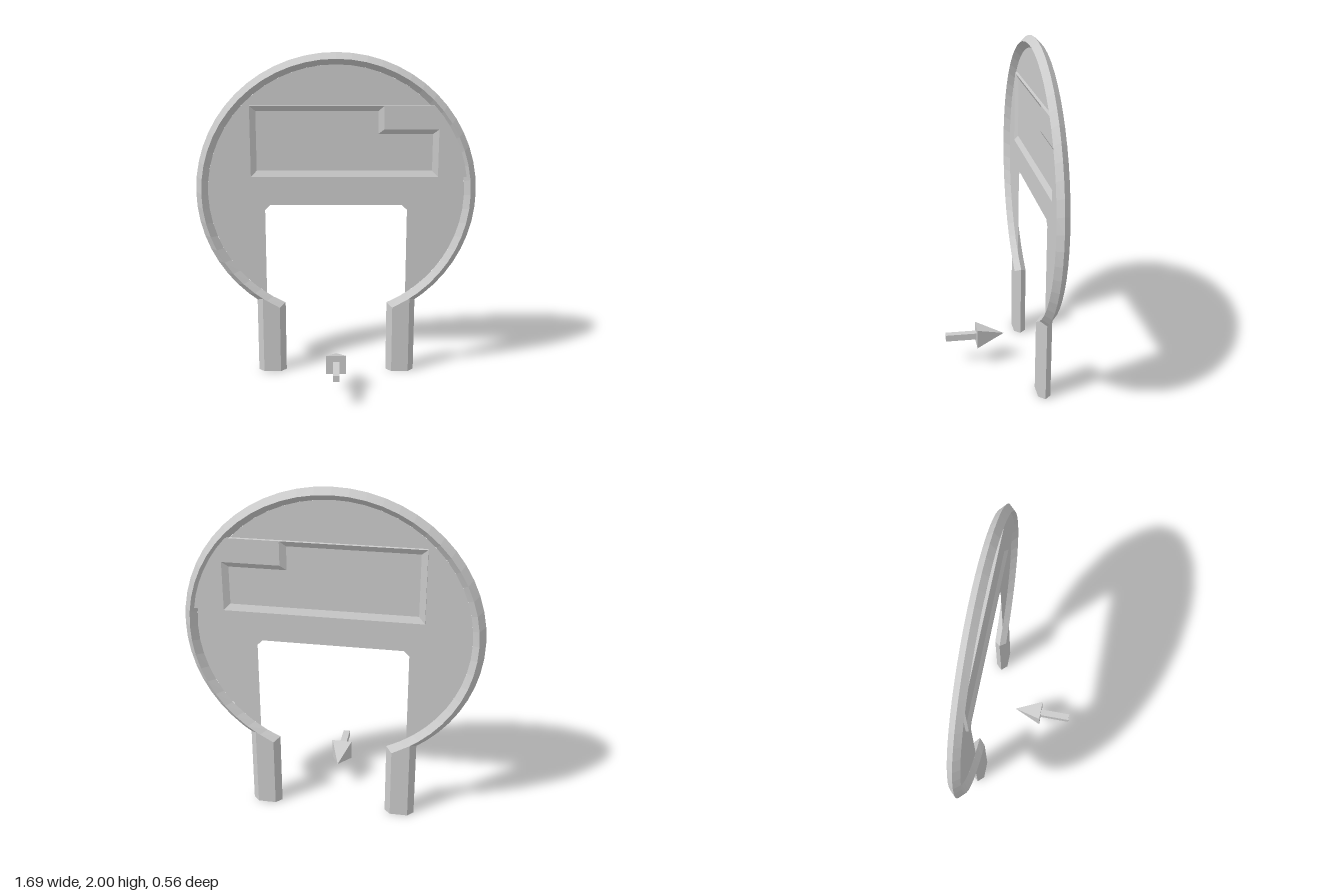
import * as THREE from 'three';

const CY = 1.16;            // centre height of the round body
const ZC = -0.243;          // middle plane of the body
const H = 0.036;            // half thickness of rim and posts
const RIN = 0.772, RMID = 0.808, ROUT = 0.843;

const material = new THREE.MeshStandardMaterial({ color: 0xcccccc, flatShading: true, side: THREE.DoubleSide });

function addMesh(parent, name, geometry) {
  const mesh = new THREE.Mesh(geometry, material);
  mesh.name = name;
  parent.add(mesh);
  return mesh;
}

// Skin a list of equally long point loops into one surface
function loft(sections, closed = true) {
  const pos = [];
  for (let i = 0; i < sections.length - 1; i++) {
    const a = sections[i], b = sections[i + 1], n = a.length;
    for (let j = 0; j < (closed ? n : n - 1); j++) {
      const k = (j + 1) % n;
      pos.push(...a[j], ...a[k], ...b[k], ...a[j], ...b[k], ...b[j]);
    }
  }
  const g = new THREE.BufferGeometry();
  g.setAttribute('position', new THREE.Float32BufferAttribute(pos, 3));
  g.computeVertexNormals();
  return g;
}

// Point on a circle; the angle starts at the bottom and runs by +x to the top
const onCircle = (r, a) => [r * Math.sin(a), CY - r * Math.cos(a)];
const bottomY = (r, x) => CY - Math.sqrt(r * r - x * x);

// Diamond-section rim, open at the bottom between the posts
function rimGeometry() {
  const profile = [[RIN, 0, 0.315], [RMID, -H, 0.35], [ROUT, 0, 0.385], [RMID, H, 0.35]];
  const steps = 48, sections = [];
  for (let i = 0; i <= steps; i++) {
    sections.push(profile.map(([r, z, endX]) => {
      const start = Math.asin(endX / r);
      const a = start + (2 * Math.PI - 2 * start) * i / steps;
      return [...onCircle(r, a), z];
    }));
  }
  return loft(sections);
}

// Thin plate with the doorway left free
function plateGeometry() {
  const pts = [];
  const start = Math.asin(0.43 / RIN);
  for (let i = 0; i <= 48; i++) {
    pts.push(new THREE.Vector2(...onCircle(RIN, start + (2 * Math.PI - 2 * start) * i / 48)));
  }
  for (const [x, y] of [[-0.43, 1.055], [-0.4, 1.085], [0.4, 1.085], [0.43, 1.055]]) pts.push(new THREE.Vector2(x, y));
  return new THREE.ShapeGeometry(new THREE.Shape(pts));
}

// Six-sided post whose top follows the rim
function postGeometry(side) {
  const outline = [
    [0.315, 0, RIN], [0.35, H, RMID], [0.455, H, RMID],
    [0.49, 0, ROUT], [0.455, -H, RMID], [0.35, -H, RMID],
  ];
  const order = side > 0 ? outline : outline.slice().reverse();
  const top = order.map(([x, z, r]) => [side * x, bottomY(r, x), z]);
  const base = order.map(([x, z]) => [side * x, 0, z]);
  const centre = order.map(() => [side * 0.4025, 0, 0]);
  return loft([top, base, centre]);
}

// Raised panel with a sloped, stepped recess on both faces
function buildPanel(parent) {
  const panel = new THREE.Group();
  panel.name = 'recessedPanel';
  parent.add(panel);
  const h = 0.018, r = 0.789;
  const x0 = -0.51, y0 = 1.265, y1 = 1.693;
  const a0 = Math.acos((CY - y0) / r), a1 = Math.acos((CY - y1) / r);
  const arc = [];
  for (let i = 0; i <= 6; i++) arc.push(onCircle(r, a0 + (a1 - a0) * i / 6));

  const outer = [[x0, y0], [0.61, y0], [0.61, 1.553], [0.285, 1.553], [0.285, y1], [x0, y1]];
  const inner = [[-0.475, 1.3], [0.575, 1.3], [0.575, 1.522], [0.25, 1.522], [0.25, 1.66], [-0.475, 1.66]];
  const face = new THREE.Shape([[0.61, y0], ...arc, [0.285, y1], [0.285, 1.553], [0.61, 1.553]]
    .map(([x, y]) => new THREE.Vector2(x, y)));

  for (const s of [1, -1]) {
    const label = s > 0 ? 'Front' : 'Back';
    const rings = [outer.map(p => [...p, s * h]), inner.map(p => [...p, 0])];
    addMesh(panel, 'recessSlope' + label, loft(s > 0 ? rings : rings.reverse()));
    const g = new THREE.ShapeGeometry(face);
    if (s < 0) g.index.array.reverse();
    if (s < 0) g.computeVertexNormals();
    addMesh(panel, 'panelFace' + label, g).position.z = s * h;
  }
  // Border walls along the top, left and bottom
  const edge = [arc[arc.length - 1], [x0, y1], [x0, y0], arc[0]];
  addMesh(panel, 'panelBorder', loft([edge.map(p => [...p, h]), edge.map(p => [...p, -h])], false));
}

// Direction arrow lying on the z axis, pointing backwards
function buildArrow(parent) {
  const arrow = new THREE.Group();
  arrow.name = 'arrow';
  arrow.position.y = 0.183;
  parent.add(arrow);
  addMesh(arrow, 'arrowShaft', new THREE.BoxGeometry(0.04, 0.04, 0.19)).position.z = 0.185;
  const head = new THREE.ConeGeometry(0.06 * Math.SQRT2, 0.17, 4);
  head.rotateY(Math.PI / 4);
  head.rotateX(-Math.PI / 2);
  addMesh(arrow, 'arrowHead', head).position.z = 0.007;
}

export function createModel() {
  const model = new THREE.Group();
  model.name = 'roundGate';
  const body = new THREE.Group();
  body.name = 'gateBody';
  body.position.z = ZC;
  model.add(body);

  addMesh(body, 'rim', rimGeometry());
  addMesh(body, 'plate', plateGeometry());
  addMesh(body, 'leftPost', postGeometry(1));
  addMesh(body, 'rightPost', postGeometry(-1));
  buildPanel(body);
  buildArrow(model);
  return model;
}
